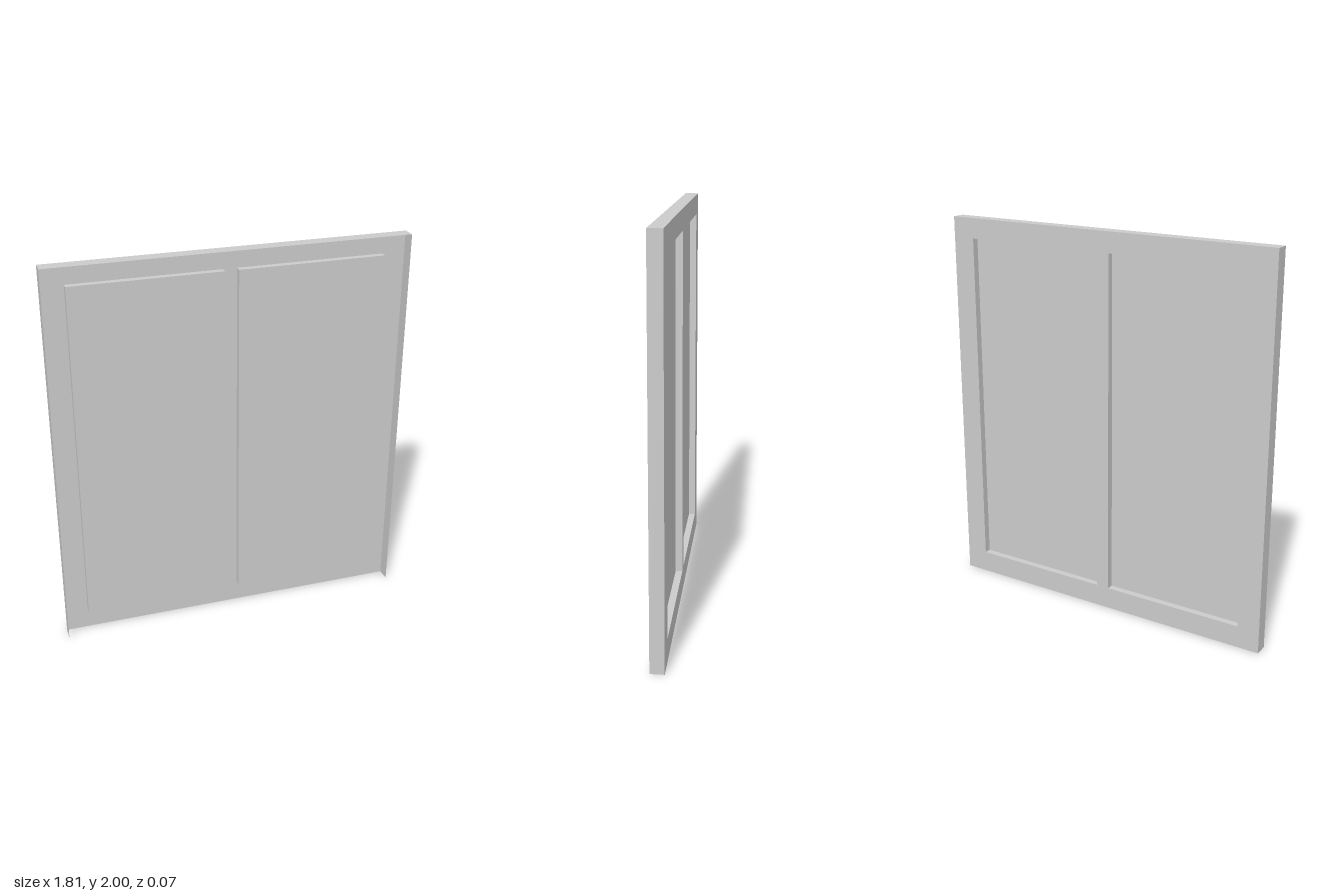
import * as THREE from 'three';

const W = 0.907, H = 2, BACK = -0.035, FRONT = 0.035, FACE = 0.0;
const PANELS = [
  { name: 'rightPanel', x0: -0.79, x1: -0.035 },
  { name: 'leftPanel', x0: 0.035, x1: 0.787 },
];
const Y0 = 0.115, Y1 = 1.895;

const material = new THREE.MeshStandardMaterial({ color: 0xcccccc, side: THREE.DoubleSide });

// Thin sheet spanning two depths along a straight edge from (ax, ay) to (bx, by)
function strip(name, ax, ay, bx, by, z0, z1) {
  const g = new THREE.PlaneGeometry(Math.hypot(bx - ax, by - ay), z1 - z0);
  g.rotateX(Math.PI / 2);
  g.rotateZ(Math.atan2(by - ay, bx - ax));
  g.translate((ax + bx) / 2, (ay + by) / 2, (z0 + z1) / 2);
  const mesh = new THREE.Mesh(g, material);
  mesh.name = name;
  return mesh;
}

function rectangle(target, x0, y0, x1, y1) {
  target.moveTo(x0, y0);
  target.lineTo(x1, y0);
  target.lineTo(x1, y1);
  target.lineTo(x0, y1);
  target.closePath();
  return target;
}

export function createModel() {
  const model = new THREE.Group();
  model.name = 'pressedDoorSheet';

  // Back sheet with an opening for each panel
  const sheet = rectangle(new THREE.Shape(), -W, 0, W, H);
  for (const p of PANELS) sheet.holes.push(rectangle(new THREE.Path(), p.x0, Y0, p.x1, Y1));
  const frame = new THREE.Mesh(new THREE.ShapeGeometry(sheet), material);
  frame.name = 'frameSheet';
  frame.position.z = BACK;
  model.add(frame);

  // Flanges folded forward on the top and both sides; the bottom is open
  model.add(
    strip('leftFlange', W, H, W, 0, BACK, FRONT),
    strip('topFlange', -W, H, W, H, BACK, FRONT),
    strip('rightFlange', -W, 0, -W, H, BACK, FRONT),
  );

  // Panels pressed forward, hollow from behind
  for (const { name, x0, x1 } of PANELS) {
    const panel = new THREE.Group();
    panel.name = name;
    const face = new THREE.Mesh(new THREE.PlaneGeometry(x1 - x0, Y1 - Y0), material);
    face.name = 'panelFace';
    face.position.set((x0 + x1) / 2, (Y0 + Y1) / 2, FACE);
    panel.add(face);
    const corners = [[x0, Y0], [x0, Y1], [x1, Y1], [x1, Y0]];
    corners.forEach((a, i) => {
      const b = corners[(i + 1) % 4];
      panel.add(strip('panelEdge', a[0], a[1], b[0], b[1], BACK, FACE));
    });
    model.add(panel);
  }
  return model;
}
